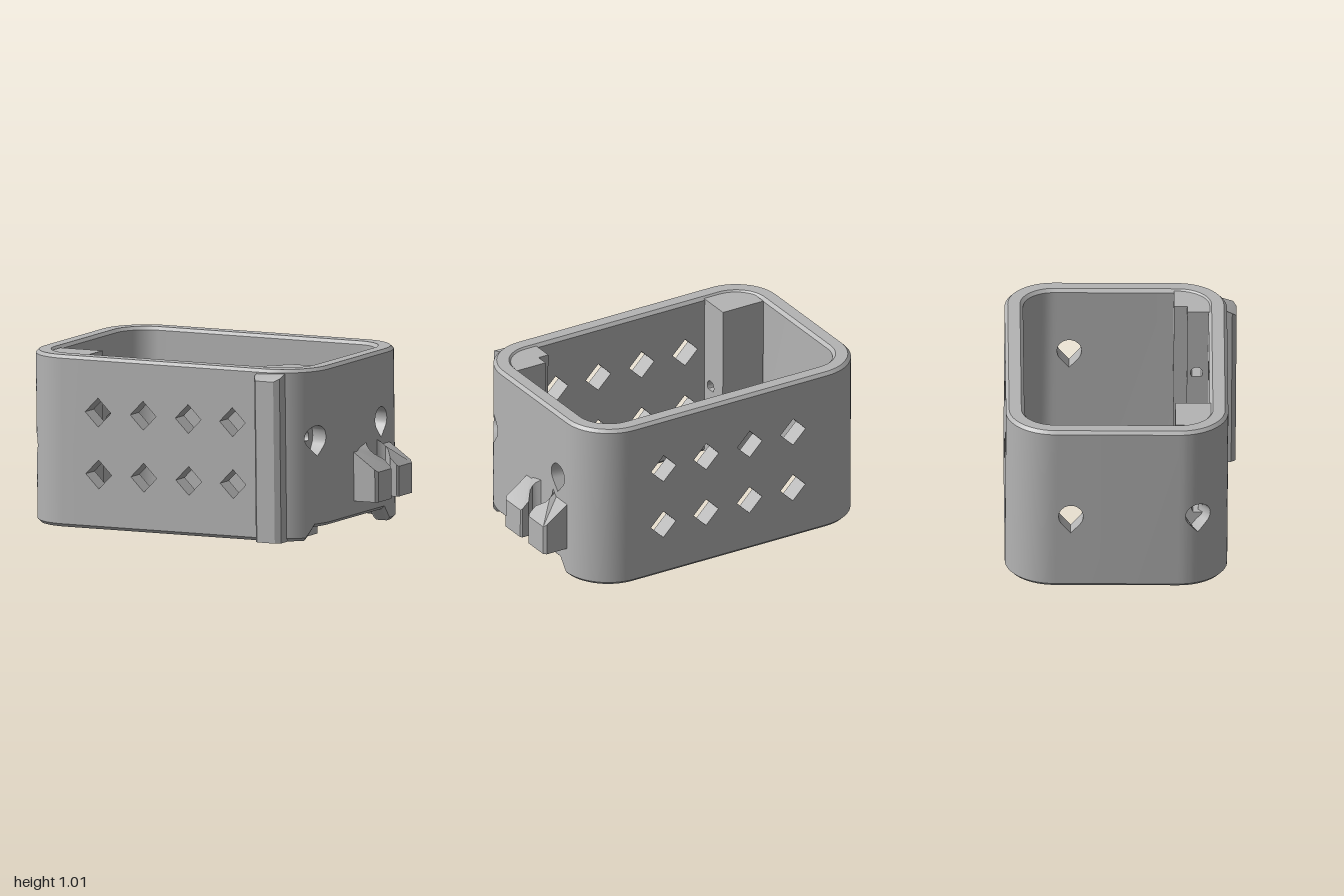
import * as THREE from 'three';
import { toCreasedNormals } from 'three/addons/utils/BufferGeometryUtils.js';

const R = 0.28, T = 0.105, C = 0.018, BOTTOM = 0.015, TOP = 1.0;
const X0 = -0.72, X1 = 0.57, Z0 = -0.38, Z1 = 0.32;   // corner centres
const grey = new THREE.MeshStandardMaterial({ color: 0xb4b4b4 });
grey.name = 'grey plastic';

const DIAMOND_X = [-0.49, -0.2, 0.09, 0.375], DIAMOND_Y = [0.33, 0.685], DIAMOND = 0.083;
const TEAR_R = 0.07;
const TEARS = [
  { side: 1, z: -0.29, y: 0.61 }, { side: 1, z: 0.43, y: 0.6 },
  { side: -1, z: -0.29, y: 0.46 }, { side: -1, z: 0.43, y: 0.46 },
];
const STEPS = [-1, -0.95, -0.85, -0.743, -0.5, -0.25, 0, 0.25, 0.5, 0.743, 0.85, 0.95, 1];

function addMesh(group, name, geometry) {
  const mesh = new THREE.Mesh(toCreasedNormals(geometry, 0.5), grey);
  mesh.name = name;
  group.add(mesh);
  return mesh;
}

// Openings that cross the wall at a point: functions giving low and high edges
function openingsAt(p) {
  const list = [];
  for (const cx of DIAMOND_X) {
    if (Math.abs(p.x - cx) < DIAMOND) {
      for (const cy of DIAMOND_Y) {
        const h = (q) => Math.max(0, DIAMOND - Math.abs(q.x - cx));
        list.push((q) => [cy - h(q), cy + h(q)]);
      }
    }
  }
  for (const t of TEARS) {
    if (p.x * t.side > 0.6 && Math.abs(p.z - t.z) < TEAR_R) {
      list.push((q) => {
        const d = Math.abs(q.z - t.z);
        const h = Math.sqrt(Math.max(0, TEAR_R * TEAR_R - d * d));
        return [t.y - (d < 0.052 ? 0.105 - 1.12 * d : h), t.y + h];
      });
    }
  }
  return list;
}

// Lower edge of the wall, with the wide notch under the +x side
function bottomAt(p) {
  if (p.x < 0.6) return BOTTOM;
  const ramp = Math.min((0.5 - p.z) / 0.05, (p.z + 0.38) / 0.06, 1);
  return BOTTOM + 0.075 * Math.max(0, ramp);
}

// Points around the outer outline, placed at every opening edge
function outline() {
  const pts = [];
  const line = (values, make) => values.forEach((v) => pts.push(make(v)));
  const corner = (cx, cz, start, extra) => {
    const angles = [...extra];
    for (let i = 0; i <= 16; i++) angles.push(start + (i / 16) * Math.PI / 2);
    angles.sort((a, b) => a - b).forEach((a) => {
      const nx = Math.sin(a), nz = Math.cos(a);
      pts.push({ x: cx + R * nx, z: cz + R * nz, nx, nz });
    });
  };
  const xs = DIAMOND_X.flatMap((c) => [c - DIAMOND, c, c + DIAMOND]);
  const tear = (z) => STEPS.map((s) => z + s * TEAR_R);
  const toAngle = (z) => Math.acos((z - Z1) / R);
  const frontHole = tear(0.43).map(toAngle);
  const sideZ = [-0.32, ...tear(-0.29)].sort((a, b) => a - b);
  line(xs, (x) => ({ x, z: Z1 + R, nx: 0, nz: 1 }));
  corner(X1, Z1, 0, [...frontHole, toAngle(0.5), toAngle(0.45)]);
  line([...sideZ].reverse(), (z) => ({ x: X1 + R, z, nx: 1, nz: 0 }));
  corner(X1, Z0, Math.PI / 2, []);
  line([...xs].reverse(), (x) => ({ x, z: Z0 - R, nx: 0, nz: -1 }));
  corner(X0, Z0, Math.PI, []);
  line(sideZ, (z) => ({ x: X0 - R, z, nx: -1, nz: 0 }));
  corner(X0, Z1, Math.PI * 1.5, frontHole.map((a) => Math.PI * 2 - a));
  return pts;
}

// Wall made of columns; each column is split by the openings that cross it
function wallGeometry() {
  const pos = [], pts = outline();
  const at = (p, [off, y]) => [p.x - p.nx * off, y, p.z - p.nz * off];
  const section = (lo, hi, first, last) => [
    [0, lo + first * C], [0, hi - last * C], [last * C, hi], [T - last * C, hi],
    [T, hi - last * C], [T, lo + first * C], [T - first * C, lo], [first * C, lo],
  ];
  pts.forEach((a, i) => {
    const b = pts[(i + 1) % pts.length];
    if (Math.hypot(a.x - b.x, a.z - b.z) < 1e-5) return;
    const holes = openingsAt({ x: (a.x + b.x) / 2, z: (a.z + b.z) / 2 });
    const levels = (p) => [bottomAt(p), ...holes.flatMap((h) => h(p)), TOP];
    const ya = levels(a), yb = levels(b);
    for (let k = 0; k < ya.length; k += 2) {
      const first = k === 0 ? 1 : 0, last = k === ya.length - 2 ? 1 : 0;
      const sa = section(ya[k], ya[k + 1], first, last);
      const sb = section(yb[k], yb[k + 1], first, last);
      for (let j = 0; j < 8; j++) {
        const n = (j + 1) % 8;
        if (sa[j][0] === sa[n][0] && sa[j][1] === sa[n][1]) continue;
        const A = at(a, sa[j]), B = at(b, sb[j]), D = at(b, sb[n]), E = at(a, sa[n]);
        pos.push(...A, ...B, ...D, ...A, ...D, ...E);
      }
    }
  });
  const g = new THREE.BufferGeometry();
  g.setAttribute('position', new THREE.Float32BufferAttribute(pos, 3));
  return g;
}

// Upright prism from an x,z outline; its top may slope by a rule
function prism(points, y0, topAt) {
  const shape = new THREE.Shape(points.map(([x, z]) => new THREE.Vector2(x, -z)));
  const g = new THREE.ExtrudeGeometry(shape, { depth: 1, bevelEnabled: false });
  g.rotateX(-Math.PI / 2);
  const p = g.attributes.position;
  for (let i = 0; i < p.count; i++) {
    p.setY(i, p.getY(i) > 0.5 ? topAt(p.getX(i), p.getZ(i)) : y0);
  }
  return g;
}

// Inner post along x with a small teardrop bore
function boredPost(x0, x1, z0, z1, y0, holeZ, holeY) {
  const shape = new THREE.Shape([[-z1, y0], [-z0, y0], [-z0, 0.99], [-z1, 0.99]]
    .map(([s, y]) => new THREE.Vector2(s, y)));
  const hole = new THREE.Path();
  hole.moveTo(-holeZ, holeY - 0.053);
  hole.absarc(-holeZ, holeY, 0.035, -0.73, Math.PI + 0.73, false);
  hole.closePath();
  shape.holes.push(hole);
  const g = new THREE.ExtrudeGeometry(shape, { depth: x1 - x0, bevelEnabled: false, curveSegments: 16 });
  g.rotateY(Math.PI / 2);
  g.translate(x0, 0, 0);
  return g;
}

export function createModel() {
  const model = new THREE.Group();
  model.name = 'perforatedFrame';
  const body = new THREE.Group();
  body.name = 'frameBody';
  model.add(body);

  addMesh(body, 'wall', wallGeometry());

  // Inner corner posts
  addMesh(body, 'rightCornerPost', boredPost(-0.89, -0.62, 0.3, 0.51, 0.025, 0.43, 0.46));
  addMesh(body, 'leftCornerPost', boredPost(0.565, 0.755, 0.3, 0.51, 0.03, 0.43, 0.6));
  addMesh(body, 'leftCornerPostStep', boredPost(0.5, 0.565, 0.375, 0.51, 0.03, 0.43, 0.6));

  // Raised rail on the front, with a sloping top
  addMesh(body, 'frontRail', prism(
    [[0.535, 0.57], [0.535, 0.63], [0.555, 0.655], [0.67, 0.655], [0.7, 0.635], [0.7, 0.53]],
    0.015, (x, z) => Math.min(0.99, 0.94 + (0.655 - z) * 0.85)));

  // Hooked clip: two mirrored jaws on the +x side
  const half = [[0.8, 0.215], [0.985, 0.215], [1.0, 0.2], [1.0, 0.045], [0.99, 0.035], [0.95, 0.035],
    [0.93, 0.06], [0.91, 0.085], [0.89, 0.092], [0.87, 0.085], [0.85, 0.065], [0.8, 0.065]];
  for (const side of [1, -1]) {
    addMesh(body, side > 0 ? 'frontClipJaw' : 'backClipJaw', prism(
      half.map(([x, d]) => [x, -0.175 + side * d]), 0.185,
      (x) => 0.5 - Math.max(0, x - 0.85) * 0.95));
  }

  // The whole frame leans very slightly
  body.rotation.set(0.007, -0.006, 0.008);
  return model;
}
